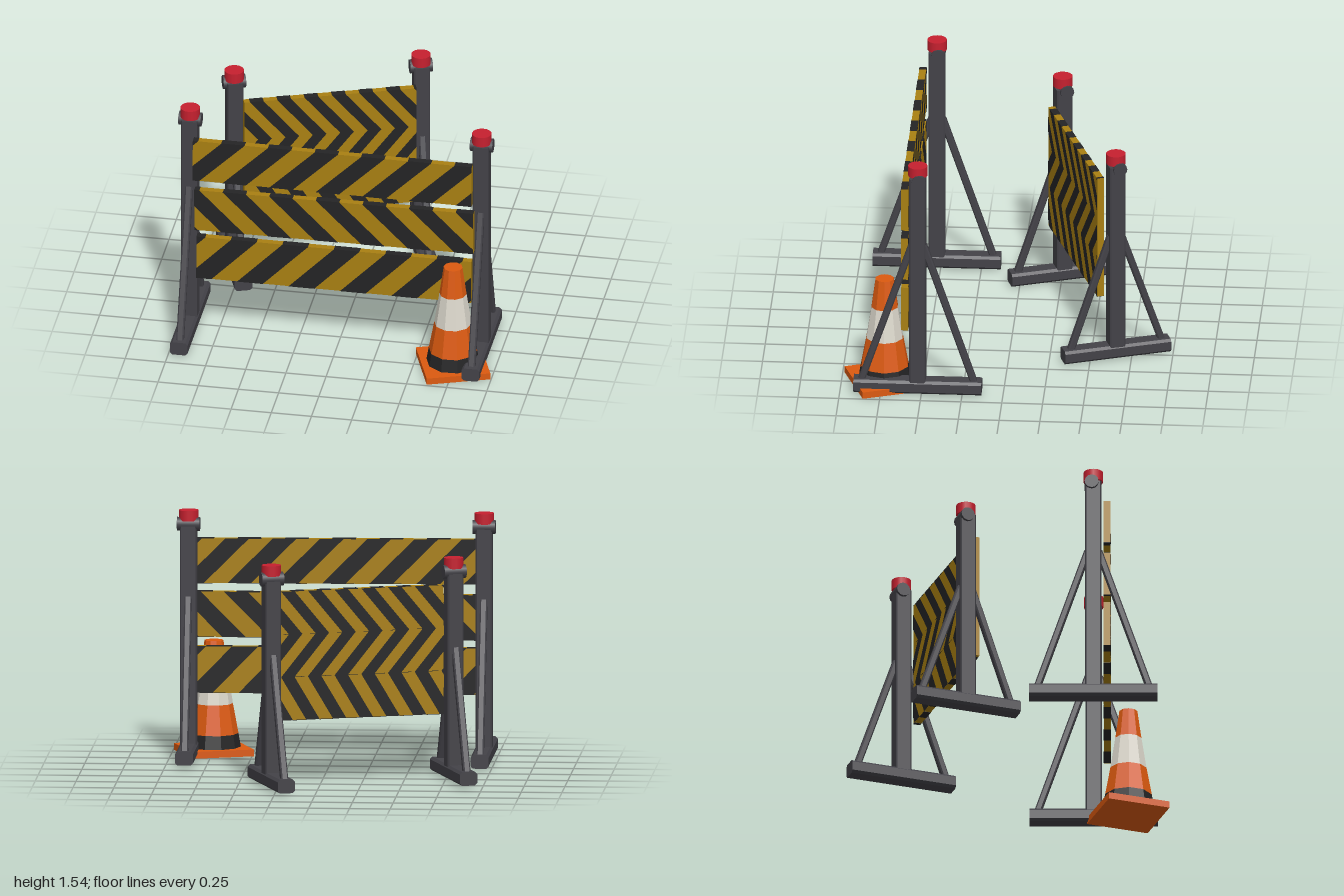
import * as THREE from 'three';

const mat = (name, color) => {
  const m = new THREE.MeshStandardMaterial({ color });
  m.name = name;
  return m;
};

export function createModel() {
  const steel = mat('dark steel', 0x434248);
  const yellow = mat('hazard yellow', 0xa98012);
  const black = mat('hazard black', 0x242425);
  const red = mat('lamp red', 0xc6202f);
  const orange = mat('cone orange', 0xdc5a10);
  const white = mat('reflective white', 0xdcd8cc);

  const add = (parent, name, geo, material, x = 0, y = 0, z = 0) => {
    const m = new THREE.Mesh(geo, material);
    m.name = name;
    m.position.set(x, y, z);
    parent.add(m);
    return m;
  };

  // Bar along z with chamfered long edges
  const chamferedBar = (w, h, length, c) => {
    const a = w / 2, b = h / 2;
    const pts = [[a, c - b], [a, b - c], [a - c, b], [c - a, b], [-a, b - c], [-a, c - b], [c - a, -b], [a - c, -b]];
    const shape = new THREE.Shape(pts.map(p => new THREE.Vector2(...p)));
    return new THREE.ExtrudeGeometry(shape, { depth: length, bevelEnabled: false }).translate(0, 0, -length / 2);
  };

  // Post with foot, two diagonal braces, bolt and lamp
  const makePost = (height, footLength, braceTop) => {
    const g = new THREE.Group();
    g.name = 'post';
    add(g, 'upright', chamferedBar(0.1, 0.1, height - 0.05, 0.008).rotateX(-Math.PI / 2), steel, 0, (height + 0.05) / 2, 0);
    add(g, 'foot', chamferedBar(0.11, 0.085, footLength, 0.015), steel, 0, 0.053, 0);
    for (const s of [-1, 1]) {
      const from = new THREE.Vector3(0, braceTop, s * 0.035);
      const to = new THREE.Vector3(0, 0.075, s * (footLength / 2 - 0.045));
      const dir = to.clone().sub(from);
      const brace = add(g, 'brace', chamferedBar(0.045, 0.042, dir.length(), 0.008), steel);
      brace.position.copy(from).add(to).multiplyScalar(0.5);
      brace.rotation.x = -Math.atan2(dir.y, dir.z);
    }
    add(g, 'bolt', new THREE.CylinderGeometry(0.043, 0.043, 0.14, 12).rotateZ(Math.PI / 2), steel, 0, height - 0.01, -0.01);
    add(g, 'lamp', new THREE.CylinderGeometry(0.06, 0.06, 0.065, 16), red, 0, height + 0.043, 0);
    return g;
  };

  // Clip a polygon to |x| <= limit
  const clipX = (poly, limit) => {
    for (const s of [-1, 1]) {
      const out = [];
      poly.forEach((p, i) => {
        const q = poly[(i + 1) % poly.length];
        const pin = s * p.x <= limit, qin = s * q.x <= limit;
        if (pin) out.push(p);
        if (pin !== qin) out.push(p.clone().lerp(q, (s * limit - p.x) / (q.x - p.x)));
      });
      poly = out;
    }
    return poly;
  };

  // Striped plank; slant is the sideways run of a stripe from bottom to top
  const makeBoard = (w, h, slant, pitch, topStart) => {
    const g = new THREE.Group(), t = 0.042, band = pitch / 2;
    g.name = 'board';
    add(g, 'plank', new THREE.BoxGeometry(w, h, t), yellow);
    for (let k = -12; k <= 18; k++) {
      const top = topStart + k * pitch, bottom = top - slant;
      const poly = clipX([
        new THREE.Vector2(bottom, -h / 2), new THREE.Vector2(bottom + band, -h / 2),
        new THREE.Vector2(top + band, h / 2), new THREE.Vector2(top, h / 2)], w / 2);
      if (poly.length > 2) {
        const geo = new THREE.ShapeGeometry(new THREE.Shape(poly));
        add(g, 'frontStripe', geo, black, 0, 0, t / 2 + 0.002);
        add(g, 'backStripe', geo, black, 0, 0, -t / 2 - 0.002).rotation.y = Math.PI;
      }
      // Stripes wrapping over the top and bottom edges
      for (const [start, y] of [[top, h / 2], [bottom, -h / 2]]) {
        const a = Math.max(start, -w / 2), b = Math.min(start + band, w / 2);
        if (b - a > 0.002) add(g, 'edgeStripe', new THREE.BoxGeometry(b - a, 0.003, t + 0.003), black, (a + b) / 2, y, 0);
      }
    }
    return g;
  };

  // boards: [centre x, centre y, width, height, slant, pitch, stripe start, tilt]
  const makeBarrier = (name, halfSpan, post, boards) => {
    const g = new THREE.Group();
    g.name = name;
    for (const s of [-1, 1]) {
      const p = makePost(...post);
      p.position.x = s * halfSpan;
      g.add(p);
    }
    for (const [x, y, w, h, slant, pitch, start, tilt] of boards) {
      const b = makeBoard(w, h, slant, pitch, start);
      b.position.set(x, y, 0.084);
      b.rotation.z = tilt;
      g.add(b);
    }
    return g;
  };

  const model = new THREE.Group();
  model.name = 'roadBarriers';

  const front = makeBarrier('frontBarrier', 0.907, [1.46, 0.785, 1.0], [
    [-0.005, 1.217, 1.735, 0.277, 0.28, 0.29, -0.69, -0.006],
    [0.005, 0.879, 1.735, 0.28, -0.28, 0.29, -0.69, 0.004],
    [0.005, 0.542, 1.71, 0.288, 0.28, 0.32, -0.64, -0.003],
  ]);
  front.position.set(-0.025, 0, 0.523);
  model.add(front);

  const rear = makeBarrier('rearBarrier', 0.58, [1.3, 0.675, 0.82], [
    [0, 1.065, 1.07, 0.266, -0.22, 0.17, -0.5, 0],
    [0, 0.8, 1.07, 0.264, 0.22, 0.17, -0.28, 0],
    [0, 0.534, 1.07, 0.268, -0.16, 0.17, -0.5, 0],
  ]);
  rear.position.set(-0.255, 0, -0.455);
  rear.rotation.y = THREE.MathUtils.degToRad(20);
  model.add(rear);

  // Traffic cone: stacked bands on a square base
  const cone = new THREE.Group();
  cone.name = 'trafficCone';
  add(cone, 'coneBase', new THREE.BoxGeometry(0.395, 0.042, 0.395), orange, 0, 0.021, 0);
  const rings = [[0.04, 0.165], [0.125, 0.15], [0.31, 0.116], [0.515, 0.084], [0.7, 0.058]];
  [black, orange, white, orange].forEach((m, i) => {
    const [y0, r0] = rings[i], [y1, r1] = rings[i + 1];
    const geo = new THREE.CylinderGeometry(r1, r0, y1 - y0, 10, 1, i < 3).toNonIndexed();
    geo.computeVertexNormals();
    add(cone, 'coneBand', geo, m, 0, (y0 + y1) / 2, 0);
  });
  cone.position.set(0.742, 0, 0.735);
  cone.rotation.y = THREE.MathUtils.degToRad(20);
  model.add(cone);

  return model;
}
